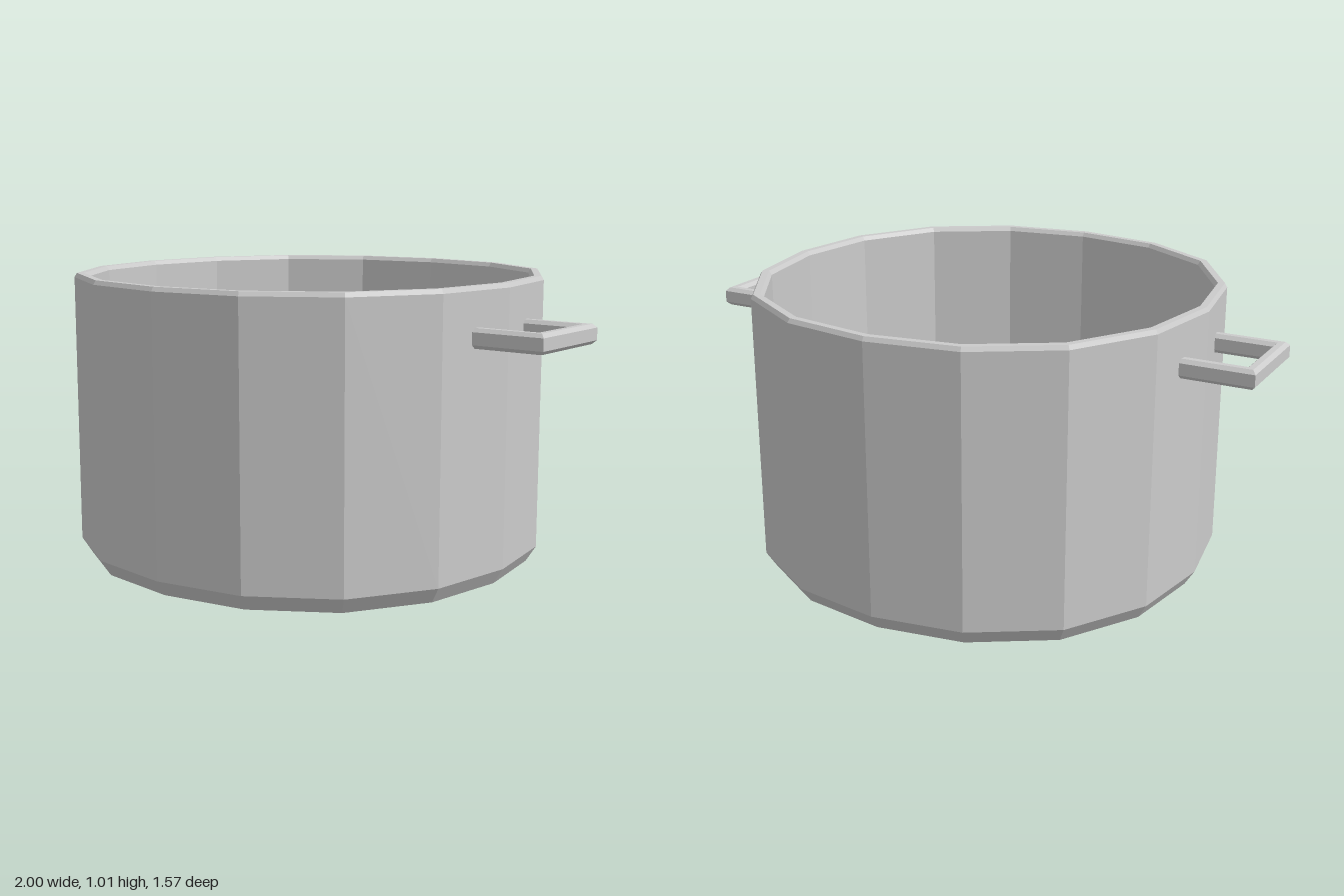
import * as THREE from 'three';

const material = new THREE.MeshStandardMaterial({ color: 0xcccccc, flatShading: true });

// Sixteen-sided pot: outside from base to rim, then back down the inside
function potGeometry() {
  const profile = [
    [0, 0], [0.67, 0.012], [0.75, 0.037], [0.783, 0.09],
    [0.783, 0.998], [0.775, 1.012], [0.752, 1.012], [0.743, 0.998],
    [0.743, 0.105], [0.712, 0.06], [0.64, 0.045], [0, 0.035],
  ].map(([r, y]) => new THREE.Vector2(r, y));
  const geometry = new THREE.LatheGeometry(profile, 16);

  // Swell the diagonals slightly
  const p = geometry.attributes.position;
  for (let i = 0; i < p.count; i++) {
    const x = p.getX(i), z = p.getZ(i);
    const s = 1 + 0.03 * Math.sin(2 * Math.atan2(x, z)) ** 2;
    p.setX(i, x * s);
    p.setZ(i, z * s);
  }
  return geometry;
}

// U-shaped bar with mitred corners and a chamfered section
function handleGeometry() {
  const w = 0.022, h = 0.032, c = 0.012;
  const section = [
    [w, h - c], [w - c, h], [c - w, h], [-w, h - c],
    [-w, c - h], [c - w, -h], [w - c, -h], [w, c - h],
  ];
  const n = section.length;
  const rings = [
    (u) => [0.735, 0.15 + u],
    (u) => [0.978 + u, 0.15 + u],
    (u) => [0.978 + u, -0.15 - u],
    (u) => [0.735, -0.15 - u],
  ];
  const positions = [], index = [];
  for (const ring of rings) {
    for (const [u, v] of section) {
      const [x, z] = ring(u);
      positions.push(x, 0.853 + v, z);
    }
  }
  for (let r = 0; r < rings.length - 1; r++) {
    for (let i = 0; i < n; i++) {
      const a = r * n + i, b = r * n + (i + 1) % n;
      index.push(a, a + n, b, b, a + n, b + n);
    }
  }
  // End caps
  const last = (rings.length - 1) * n;
  for (let i = 1; i < n - 1; i++) {
    index.push(0, i, i + 1, last, last + i + 1, last + i);
  }
  const geometry = new THREE.BufferGeometry();
  geometry.setAttribute('position', new THREE.Float32BufferAttribute(positions, 3));
  geometry.setIndex(index);
  geometry.computeVertexNormals();
  return geometry;
}

export function createModel() {
  const model = new THREE.Group();
  model.name = 'cookingPot';

  const pot = new THREE.Mesh(potGeometry(), material);
  pot.name = 'pot';
  model.add(pot);

  const bar = handleGeometry();
  for (const [name, turn] of [['leftHandle', 0], ['rightHandle', Math.PI]]) {
    const handle = new THREE.Mesh(bar, material);
    handle.name = name;
    handle.rotation.y = turn;
    model.add(handle);
  }
  return model;
}
